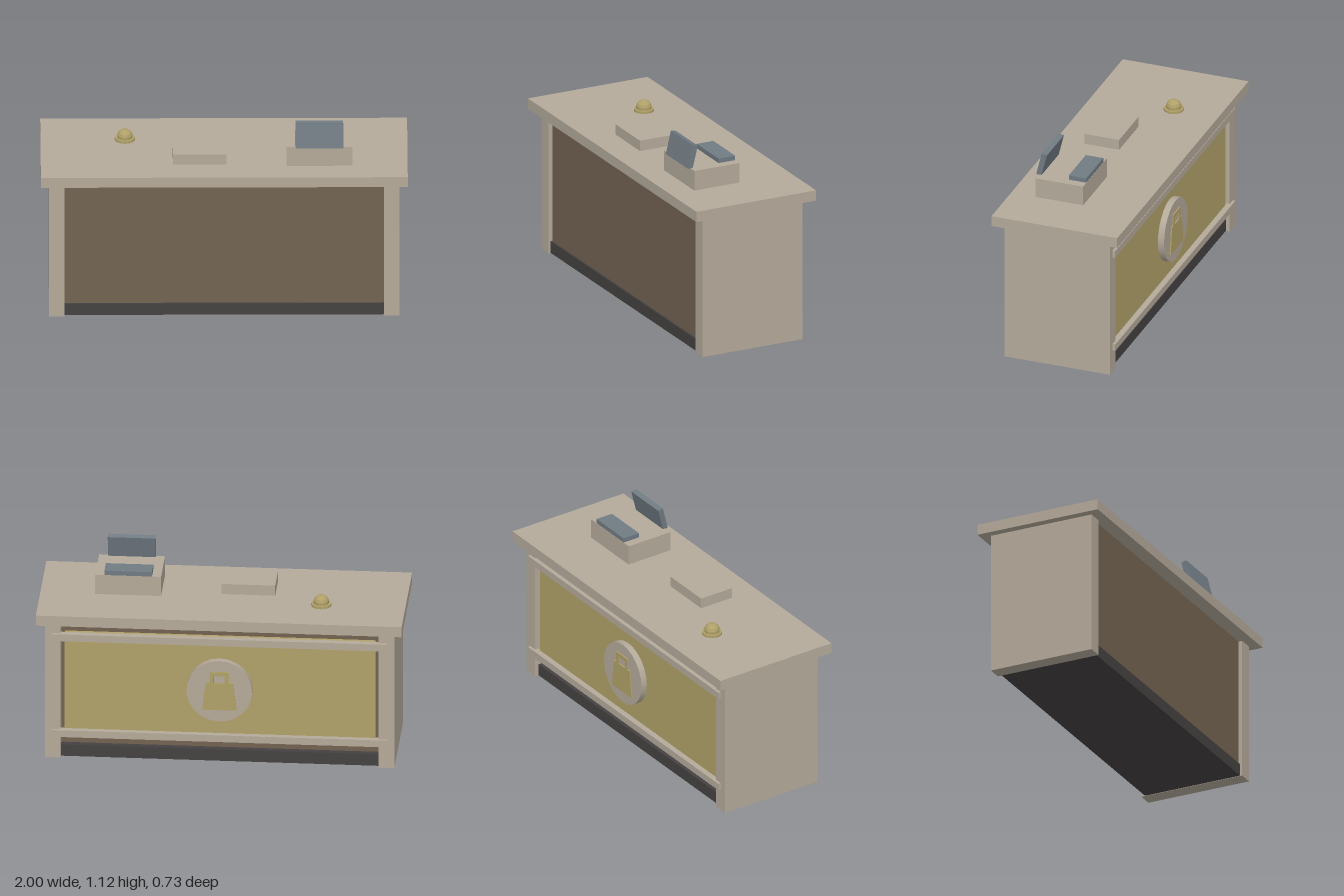
import * as THREE from 'three';

const mat = (name, color, extra = {}) => {
  const m = new THREE.MeshStandardMaterial({ color, ...extra });
  m.name = name;
  return m;
};

export function createModel() {
  const group = new THREE.Group();
  const beige = mat('beige', 0xb4aa9a);
  const brown = mat('brown', 0x726351);
  const dark = mat('charcoal', 0x454142);
  const gold = mat('gold', 0xb0a169, { flatShading: true });
  const slate = mat('slate', 0x717b83);

  const add = (name, geometry, material, x = 0, y = 0, z = 0) => {
    const mesh = new THREE.Mesh(geometry, material);
    mesh.name = name;
    mesh.position.set(x, y, z);
    group.add(mesh);
    return mesh;
  };
  // Box given by its extents
  const box = (name, material, x0, x1, y0, y1, z0, z1) =>
    add(name, new THREE.BoxGeometry(x1 - x0, y1 - y0, z1 - z0), material,
      (x0 + x1) / 2, (y0 + y1) / 2, (z0 + z1) / 2);

  // Counter body
  box('worktop', beige, -1, 1, 0.81, 0.87, -0.367, 0.367);
  box('leftSide', beige, 0.87, 0.955, 0, 0.81, -0.307, 0.307);
  box('rightSide', beige, -0.955, -0.87, 0, 0.81, -0.307, 0.307);
  box('core', brown, -0.87, 0.87, 0.07, 0.81, -0.25, 0.285);
  box('plinth', dark, -0.87, 0.87, 0.002, 0.07, -0.285, 0.295);

  // Decorated back
  box('backPanel', gold, -0.85, 0.85, 0.14, 0.735, -0.29, -0.25);
  for (const [name, y] of [['lowerRail', 0.13], ['upperRail', 0.702]])
    box(name, beige, -0.916, 0.916, y, y + 0.04, -0.323, -0.285);

  // Round emblem with a shopping bag
  const disc = new THREE.CylinderGeometry(0.18, 0.18, 0.038, 24).rotateX(Math.PI / 2);
  add('emblemDisc', disc, beige, 0, 0.435, -0.307);
  const outline = (points) => points.map(([x, y]) => new THREE.Vector2(x, y));
  const bag = new THREE.Shape(outline([
    [-0.095, 0.325], [0.095, 0.325], [0.075, 0.485], [0.053, 0.485],
    [0.053, 0.55], [-0.053, 0.55], [-0.053, 0.485], [-0.075, 0.485],
  ]));
  bag.holes.push(new THREE.Path(outline([
    [-0.03, 0.485], [-0.03, 0.527], [0.03, 0.527], [0.03, 0.485],
  ])));
  const bagGeometry = new THREE.ExtrudeGeometry(bag, { depth: 0.009, bevelEnabled: false });
  add('emblemBag', bagGeometry.rotateY(Math.PI), gold, 0, 0, -0.324);

  // Cash register
  box('registerBase', beige, 0.34, 0.70, 0.87, 0.984, -0.053, 0.224);
  box('keypad', slate, 0.39, 0.65, 0.984, 1.01, -0.052, 0.05);
  const screen = add('registerScreen', new THREE.BoxGeometry(0.26, 0.135, 0.031), slate, 0.52, 1.046, 0.209);
  screen.rotation.x = -0.24;

  // Box on the worktop
  box('counterBox', beige, -0.28, 0.013, 0.87, 0.93, 0, 0.203);

  // Service bell
  add('bellBase', new THREE.CylinderGeometry(0.055, 0.055, 0.013, 16), gold, -0.54, 0.8765, -0.107);
  const dome = [[0.042, 0.883], [0.042, 0.9], [0.036, 0.915], [0.024, 0.926], [0, 0.932]];
  add('bellDome', new THREE.LatheGeometry(outline(dome), 14), gold, -0.54, 0, -0.107);

  return group;
}
